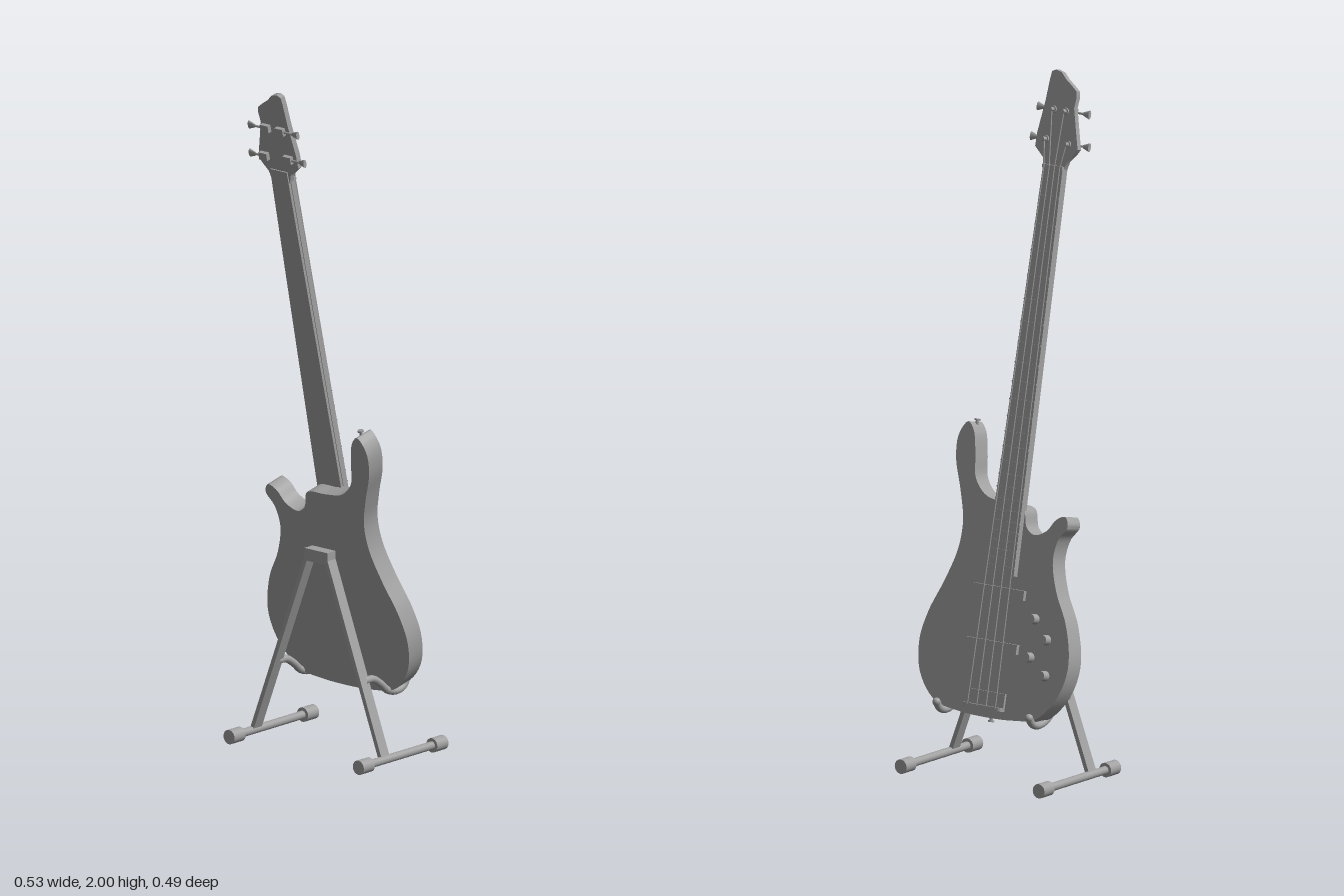
import * as THREE from 'three';
import { toCreasedNormals } from 'three/addons/utils/BufferGeometryUtils.js';

const grey = new THREE.MeshStandardMaterial({ color: 0xa0a0a0 });
grey.name = 'plain grey';

const V = (x, y, z) => new THREE.Vector3(x, y, z);

function add(parent, name, geometry, x = 0, y = 0, z = 0) {
  const mesh = new THREE.Mesh(geometry, grey);
  mesh.name = name;
  mesh.position.set(x, y, z);
  parent.add(mesh);
  return mesh;
}

// Flat plate with an xy outline, running from z0 to z1
function plate(points, z0, z1, smooth = false) {
  let outline = points.map(([x, y]) => new THREE.Vector2(x, y));
  if (smooth) {
    const curve = new THREE.CatmullRomCurve3(points.map(([x, y]) => V(x, y, 0)), true, 'centripetal');
    outline = curve.getPoints(160).slice(0, -1).map(p => new THREE.Vector2(p.x, p.y));
  }
  const geo = new THREE.ExtrudeGeometry(new THREE.Shape(outline), { depth: z1 - z0, bevelEnabled: false });
  geo.translate(0, 0, z0);
  return smooth ? toCreasedNormals(geo, 0.6) : geo;
}

// Cylinder between two points
function rod(parent, name, a, b, r, r2 = r, sides = 20) {
  const d = b.clone().sub(a);
  const mesh = add(parent, name, new THREE.CylinderGeometry(r2, r, d.length(), sides));
  mesh.position.copy(a).addScaledVector(d, 0.5);
  mesh.quaternion.setFromUnitVectors(V(0, 1, 0), d.normalize());
  return mesh;
}

const CX = 0.005;                 // centre line of the neck
const NUT = 1.58, BRIDGE = 0.05;  // string length limits
const END = 0.41;                 // lower end of the fretboard
const halfWidth = y => THREE.MathUtils.lerp(0.051, 0.034, (y - END) / (NUT - END));

function buildBody(guitar) {
  // Outline in upright heights, converted to length along the body
  const outline = [
    [0, 0.177], [-0.1, 0.181], [-0.175, 0.195], [-0.24, 0.265], [-0.264, 0.355], [-0.238, 0.465],
    [-0.187, 0.557], [-0.162, 0.64], [-0.172, 0.7], [-0.198, 0.738], [-0.185, 0.764],
    [-0.155, 0.752], [-0.127, 0.717], [-0.085, 0.7], [-0.055, 0.718], [-0.036, 0.768],
    [0.037, 0.775], [0.1, 0.786], [0.143, 0.828], [0.155, 0.89], [0.172, 0.958],
    [0.195, 0.98], [0.222, 0.94], [0.221, 0.875], [0.19, 0.786], [0.168, 0.706], [0.172, 0.627],
    [0.203, 0.537], [0.247, 0.44], [0.265, 0.357], [0.247, 0.268], [0.185, 0.2], [0.1, 0.182],
  ].map(([x, y]) => [x, (y - 0.177) / 0.976]);
  add(guitar, 'body', plate(outline, 0, 0.06, true));

  // Pickups
  for (const y of [0.36, 0.205]) add(guitar, 'pickup', new THREE.BoxGeometry(0.18, 0.028, 0.016), CX, y, -0.004);

  // Bridge with a round-cornered upright tail
  add(guitar, 'bridgePlate', new THREE.BoxGeometry(0.136, 0.05, 0.008), CX, 0.05, -0.004);
  const tail = new THREE.Shape();
  tail.moveTo(-0.068, 0).lineTo(-0.068, 0.01).quadraticCurveTo(-0.068, 0.022, -0.054, 0.022);
  tail.lineTo(0.054, 0.022).quadraticCurveTo(0.068, 0.022, 0.068, 0.01).lineTo(0.068, 0);
  const tailMesh = add(guitar, 'bridgeTail', new THREE.ExtrudeGeometry(tail, { depth: 0.01, bevelEnabled: false }), CX, 0.024, 0);
  tailMesh.rotation.x = -Math.PI / 2;

  // Control knobs
  for (const [x, y] of [[-0.128, 0.3], [-0.178, 0.247], [-0.128, 0.19], [-0.188, 0.145]]) {
    rod(guitar, 'knob', V(x, y, 0.002), V(x, y, -0.024), 0.015, 0.014, 24);
  }

  // Strap pins on the upper horn and the bottom edge
  for (const [x, y, s] of [[0.185, 0.815, 1], [0, 0.004, -1]]) {
    rod(guitar, 'strapPin', V(x, y, 0.03), V(x, y + 0.016 * s, 0.03), 0.005, 0.005, 12);
    rod(guitar, 'strapPinHead', V(x, y + 0.012 * s, 0.03), V(x, y + 0.017 * s, 0.03), 0.009, 0.009, 16);
  }
}

function buildNeck(guitar) {
  const taper = (y0, y1, inset) => [
    [CX - halfWidth(y0) + inset, y0], [CX + halfWidth(y0) - inset, y0],
    [CX + halfWidth(y1) - inset, y1], [CX - halfWidth(y1) + inset, y1],
  ];
  add(guitar, 'neck', plate(taper(0.56, NUT + 0.03, 0.002), -0.011, 0.009));
  add(guitar, 'fretboard', plate(taper(END, NUT, 0), -0.018, 0));
  add(guitar, 'nut', new THREE.BoxGeometry(0.07, 0.01, 0.018), CX, NUT, -0.014);

  // Frets, spaced by equal temperament
  for (let n = 1; n <= 24; n++) {
    const y = BRIDGE + (NUT - BRIDGE) * Math.pow(2, -n / 12);
    add(guitar, 'fret', new THREE.BoxGeometry(halfWidth(y) * 2, 0.004, 0.004), CX, y, -0.019);
  }
}

function buildHead(guitar) {
  const outline = [
    [-0.029, 1.575], [0.039, 1.575], [0.046, 1.6], [0.066, 1.617], [0.081, 1.63], [0.08, 1.67],
    [0.066, 1.76], [0.06, 1.825], [0.056, 1.849], [0.042, 1.855], [0.022, 1.85], [0.003, 1.832],
    [-0.018, 1.818], [-0.038, 1.803], [-0.041, 1.785], [-0.037, 1.755], [-0.053, 1.695],
    [-0.068, 1.64], [-0.058, 1.625], [-0.036, 1.6],
  ];
  const geo = plate(outline, -0.012, 0.005);
  add(guitar, 'headstock', toCreasedNormals(geo, 0.5));

  // Tuners: post, rear housing, side shaft and paddle button; each with its string
  const tuners = [[-0.033, 1.65, -0.092], [-0.01, 1.742, -0.078], [0.033, 1.742, 0.106], [0.046, 1.655, 0.116]];
  tuners.forEach(([x, y, bx], i) => {
    const s = Math.sign(bx - x);
    rod(guitar, 'tunerPost', V(x, y, 0), V(x, y, -0.03), 0.006, 0.006, 14);
    rod(guitar, 'tunerWasher', V(x, y, -0.01), V(x, y, -0.016), 0.011, 0.01, 18);
    add(guitar, 'tunerHousing', new THREE.BoxGeometry(0.03, 0.022, 0.014), x + s * 0.006, y, 0.011);
    rod(guitar, 'tunerShaft', V(x, y, 0.011), V(bx - s * 0.016, y, 0.011), 0.0035, 0.0035, 10);
    const button = rod(guitar, 'tunerButton', V(bx - s * 0.022, y, 0.011), V(bx, y, 0.011), 0.005, 0.013, 18);
    button.scale.z = 0.5;

    const u = i - 1.5;
    const path = [V(CX + u * 0.033, 0.03, -0.021), V(CX + u * 0.0185, NUT, -0.025), V(x, y, -0.022)];
    for (let k = 0; k < 2; k++) rod(guitar, 'string', path[k], path[k + 1], 0.0022, 0.0022, 6);
  });
}

function buildStand(stand) {
  const SX = -0.003, FOOT = 0.245, Y = 0.025;
  add(stand, 'standTop', new THREE.BoxGeometry(0.088, 0.036, 0.035), SX, 0.583, 0.005);
  for (const s of [-1, 1]) {
    // Sloping flat leg
    const a = V(SX + s * 0.243, 0.03, 0.005), b = V(SX + s * 0.036, 0.58, 0.005);
    const leg = add(stand, 'standLeg', new THREE.BoxGeometry(0.013, a.distanceTo(b), 0.035));
    leg.position.copy(a).lerp(b, 0.5);
    leg.rotation.z = Math.atan2(a.x - b.x, b.y - a.y);

    // Foot bar with end caps
    const x = SX + s * FOOT;
    rod(stand, 'footBar', V(x, Y, -0.22), V(x, Y, 0.1), 0.012);
    rod(stand, 'footCap', V(x, Y, -0.246), V(x, Y, -0.198), 0.021, 0.021, 28);
    rod(stand, 'footCap', V(x, Y, 0.07), V(x, Y, 0.118), 0.021, 0.021, 28);

    // Curved cradle hook with a round tip
    const hx = SX + s * 0.164;
    const curve = new THREE.CatmullRomCurve3([
      V(hx, 0.242, 0), V(hx, 0.24, -0.035), V(hx, 0.22, -0.068),
      V(hx, 0.194, -0.1), V(hx, 0.185, -0.14), V(hx, 0.194, -0.168), V(hx, 0.215, -0.184),
    ]);
    add(stand, 'cradleHook', new THREE.TubeGeometry(curve, 40, 0.011, 14));
    add(stand, 'hookTip', new THREE.SphereGeometry(0.012, 16, 12), hx, 0.215, -0.184);
  }
}

export function createModel() {
  const model = new THREE.Group();
  model.name = 'bassOnStand';

  // Instrument leans back on the stand; its strings face -z
  const guitar = new THREE.Group();
  guitar.name = 'bassGuitar';
  buildBody(guitar);
  buildNeck(guitar);
  buildHead(guitar);
  guitar.position.set(0, 0.19, -0.167);
  guitar.rotation.x = 0.22;

  const stand = new THREE.Group();
  stand.name = 'stand';
  buildStand(stand);

  model.add(guitar, stand);
  return model;
}
